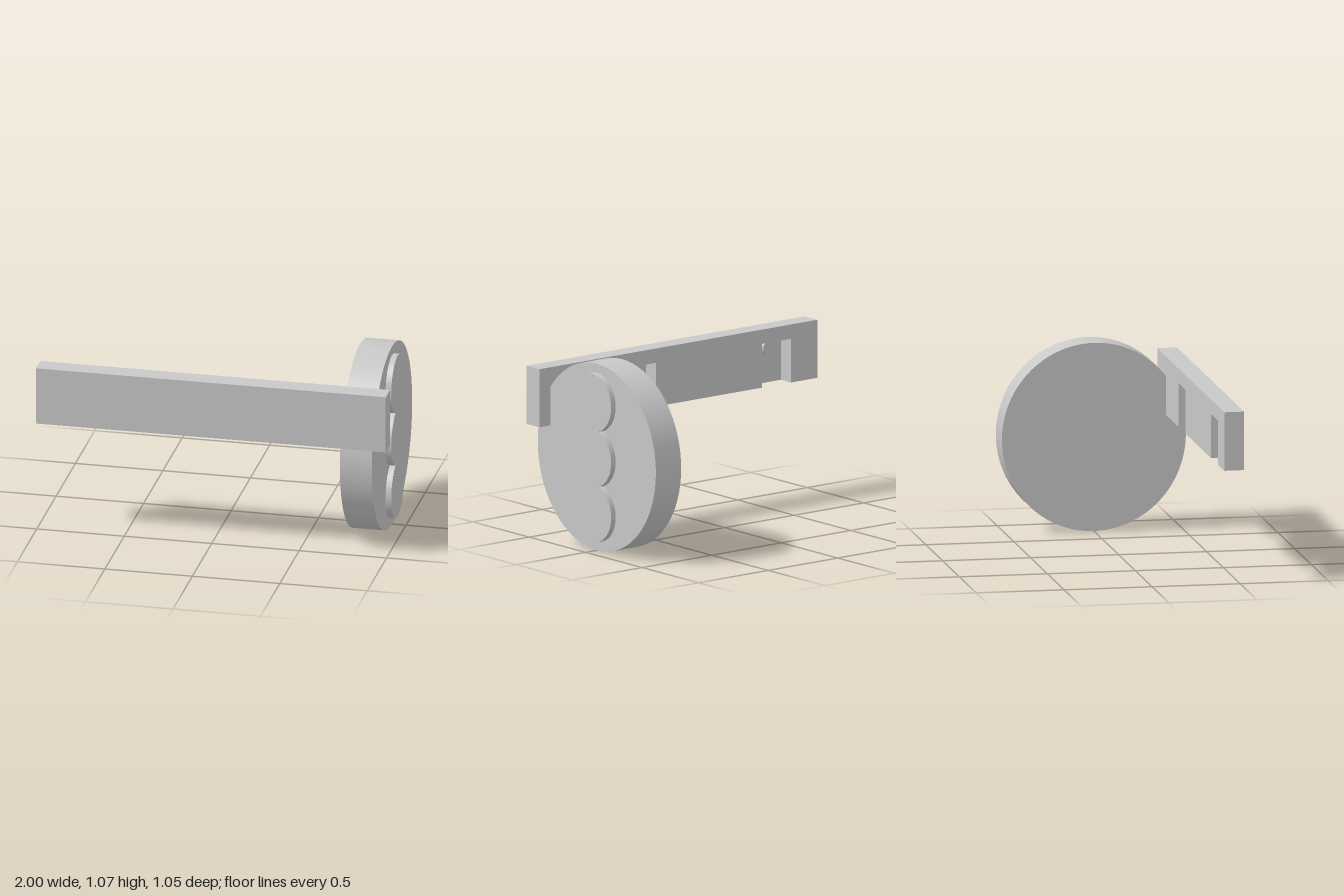
import * as THREE from 'three';
import { toCreasedNormals } from 'three/addons/utils/BufferGeometryUtils.js';

export function createModel() {
  const model = new THREE.Group();
  const grey = new THREE.MeshStandardMaterial({ color: 0xc8c8c8 });
  grey.name = 'plain grey';

  const add = (name, geometry, x, y, z) => {
    const mesh = new THREE.Mesh(geometry, grey);
    mesh.name = name;
    mesh.position.set(x, y, z);
    model.add(mesh);
  };

  // Bar: a thin front skin and a rear layer with two pockets open at the bottom
  const bottom = 0.645, top = 0.977, pocketTop = 0.895;
  const back = 0.41, pocketFloor = 0.5, front = 0.523;
  const pockets = [[-0.81, -0.6], [0.16, 0.37]];

  add('barFront', new THREE.BoxGeometry(2, top - bottom, front - pocketFloor),
    0, (top + bottom) / 2, (front + pocketFloor) / 2);

  const outline = new THREE.Shape();
  outline.moveTo(-1, bottom);
  for (const [a, b] of pockets) {
    outline.lineTo(a, bottom);
    outline.lineTo(a, pocketTop);
    outline.lineTo(b, pocketTop);
    outline.lineTo(b, bottom);
  }
  outline.lineTo(1, bottom);
  outline.lineTo(1, top);
  outline.lineTo(-1, top);
  outline.closePath();
  add('barBack', new THREE.ExtrudeGeometry(outline,
    { depth: pocketFloor - back, bevelEnabled: false }), 0, 0, back);

  // Small round peg on the floor of each pocket
  for (const [a, b] of pockets) {
    add('pocketPeg', new THREE.CylinderGeometry(0.037, 0.037, 0.02, 32).rotateX(Math.PI / 2),
      (a + b) / 2, 0.847, pocketFloor - 0.01);
  }

  // Large upright disc, slightly taller than deep
  const disc = new THREE.CylinderGeometry(1, 1, 0.182, 128).rotateZ(-Math.PI / 2);
  disc.scale(1, 0.534, 0.5225);
  add('disc', disc, 0.829, 0.535, 0);

  // Raised outline of three merged circles on the outer face
  const r = 0.167, step = 0.315, PI = Math.PI;
  const meet = Math.asin(step / 2 / r);
  const lobes = new THREE.Shape();
  lobes.absarc(0, -step, r, PI - meet, 2 * PI + meet, false);
  lobes.absarc(0, 0, r, -meet, meet, false);
  lobes.absarc(0, step, r, -meet, PI + meet, false);
  lobes.absarc(0, 0, r, PI - meet, PI + meet, false);
  const raised = new THREE.ExtrudeGeometry(lobes,
    { depth: 0.033, bevelEnabled: false, curveSegments: 48 }).rotateY(PI / 2);
  add('raisedCircles', toCreasedNormals(raised, 0.5), 0.92, 0.535, 0);

  return model;
}
